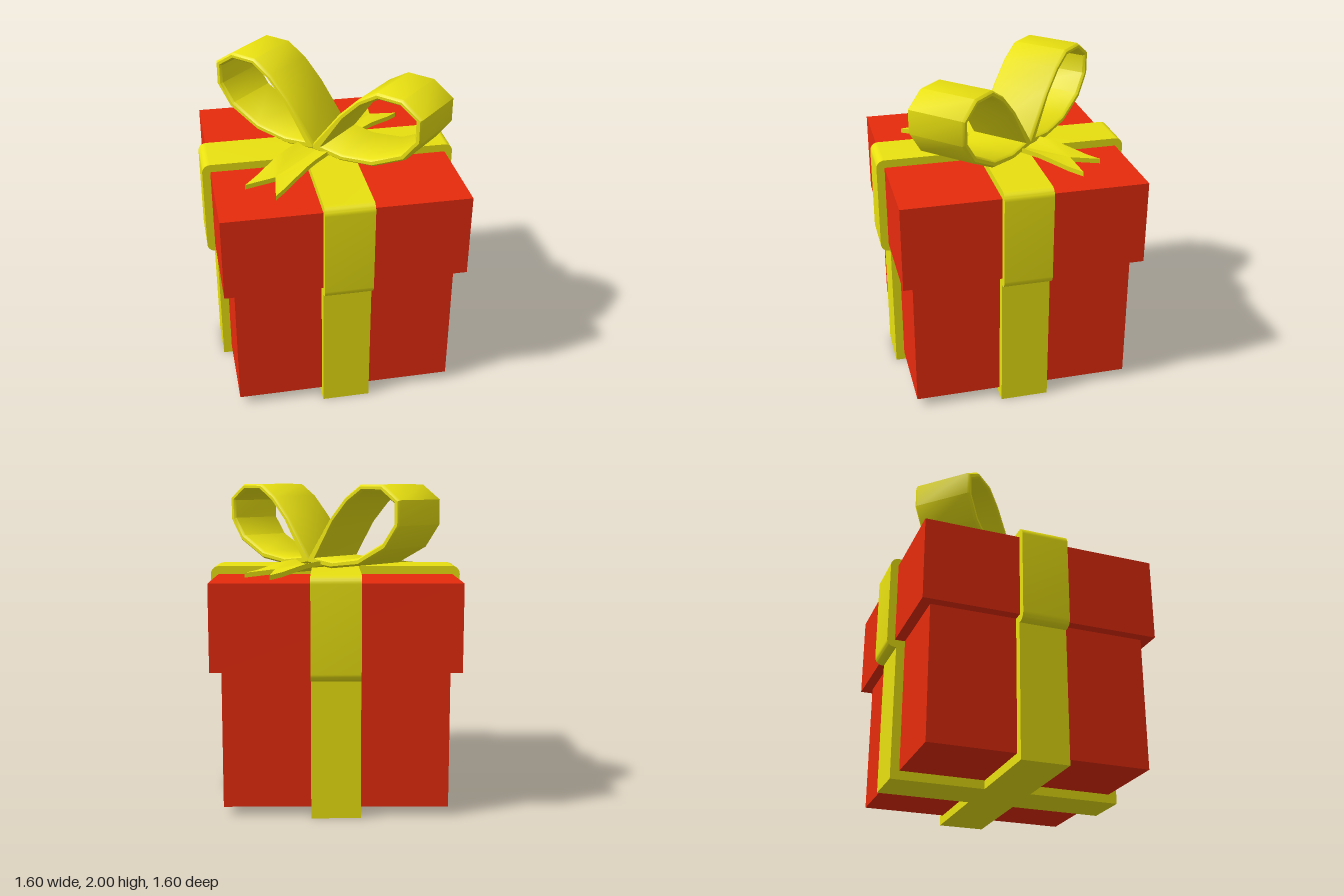
import * as THREE from 'three';
import { toCreasedNormals } from 'three/addons/utils/BufferGeometryUtils.js';

const red = new THREE.MeshStandardMaterial({ color: 0xe62b0d });
const yellow = new THREE.MeshStandardMaterial({ color: 0xe8e010 });

function add(parent, name, geometry, material) {
  const mesh = new THREE.Mesh(geometry, material);
  mesh.name = name;
  parent.add(mesh);
  return mesh;
}

function block(parent, name, half, y0, y1) {
  const g = new THREE.BoxGeometry(2 * half, y1 - y0, 2 * half);
  g.translate(0, (y0 + y1) / 2, 0);
  return add(parent, name, g, red);
}

const points = (list) => list.map(([x, y]) => new THREE.Vector2(x, y));

// Band that follows the stepped outline of box and lid, with rounded lid corners
function bandGeometry() {
  const body = 0.74, lid = 0.8, low = 0.85, top = 1.48, r = 0.05;
  const s = new THREE.Shape();
  s.moveTo(-body, 0);
  s.lineTo(body, 0);
  s.lineTo(body, low);
  s.lineTo(lid - r, low);
  s.absarc(lid - r, low + r, r, -Math.PI / 2, 0);
  s.absarc(lid - r, top - r, r, 0, Math.PI / 2);
  s.absarc(r - lid, top - r, r, Math.PI / 2, Math.PI);
  s.absarc(r - lid, low + r, r, Math.PI, Math.PI * 1.5);
  s.lineTo(-body, low);
  const g = new THREE.ExtrudeGeometry(s, { depth: 0.3, bevelEnabled: false, curveSegments: 5 });
  g.translate(0, 0, -0.15);
  return toCreasedNormals(g, 0.6);
}

// One closed bow loop with softened edges
function loopGeometry() {
  const s = new THREE.Shape(points([
    [-0.01, 1.5], [0.2, 1.48], [0.44, 1.51], [0.66, 1.62], [0.765, 1.76], [0.765, 1.91],
    [0.63, 2], [0.45, 2], [0.32, 1.92], [0.19, 1.79], [-0.01, 1.53],
  ]));
  s.holes.push(new THREE.Path(points([
    [0.07, 1.54], [0.22, 1.525], [0.43, 1.555], [0.63, 1.655], [0.72, 1.77], [0.72, 1.89],
    [0.615, 1.96], [0.465, 1.96], [0.35, 1.89], [0.225, 1.765],
  ])));
  const g = new THREE.ExtrudeGeometry(s, {
    depth: 0.36, bevelThickness: 0.015, bevelSize: 0.012, bevelOffset: -0.012, bevelSegments: 1,
  });
  g.translate(0, 0, -0.18);
  return toCreasedNormals(g, 0.75);
}

// Strip with notched ends that droops from the knot onto the lid
function tailGeometry() {
  const w = 0.115, thick = 0.03;
  const along = [-0.68, -0.58, -0.47, -0.37, -0.27, -0.13, 0, 0.13, 0.27, 0.37, 0.47, 0.58, 0.68];
  const s = new THREE.Shape(points([
    ...along.map((e) => [e, -w]), [0.53, 0],
    ...along.slice().reverse().map((e) => [e, w]), [-0.53, 0],
  ]));
  const g = new THREE.ExtrudeGeometry(s, { depth: thick, bevelEnabled: false });
  const p = g.attributes.position;
  for (let i = 0; i < p.count; i++) {
    const droop = 0.06 * THREE.MathUtils.smoothstep(Math.abs(p.getX(i)), 0.27, 0.7);
    p.setZ(i, p.getZ(i) + 1.52 - thick - droop);
  }
  g.rotateX(-Math.PI / 2);
  g.rotateY(Math.PI / 2);
  return toCreasedNormals(g, 0.6);
}

export function createModel() {
  const model = new THREE.Group();
  model.name = 'giftBox';

  block(model, 'box', 0.685, 0.055, 0.9);
  block(model, 'lid', 0.75, 0.9, 1.43);

  // Crossed ribbons
  const band = bandGeometry();
  add(model, 'ribbonAcross', band, yellow);
  add(model, 'ribbonFrontToBack', band, yellow).rotation.y = Math.PI / 2;

  // Bow set on the diagonal
  const bow = new THREE.Group();
  bow.name = 'bow';
  bow.rotation.y = -Math.PI / 4;
  model.add(bow);
  const loop = loopGeometry();
  ['bowLoopFront', 'bowLoopBack'].forEach((name, i) => {
    const mesh = add(bow, name, loop, yellow);
    mesh.position.z = -0.055;
    mesh.rotation.y = i * Math.PI;
  });
  add(bow, 'bowTails', tailGeometry(), yellow);

  return model;
}
